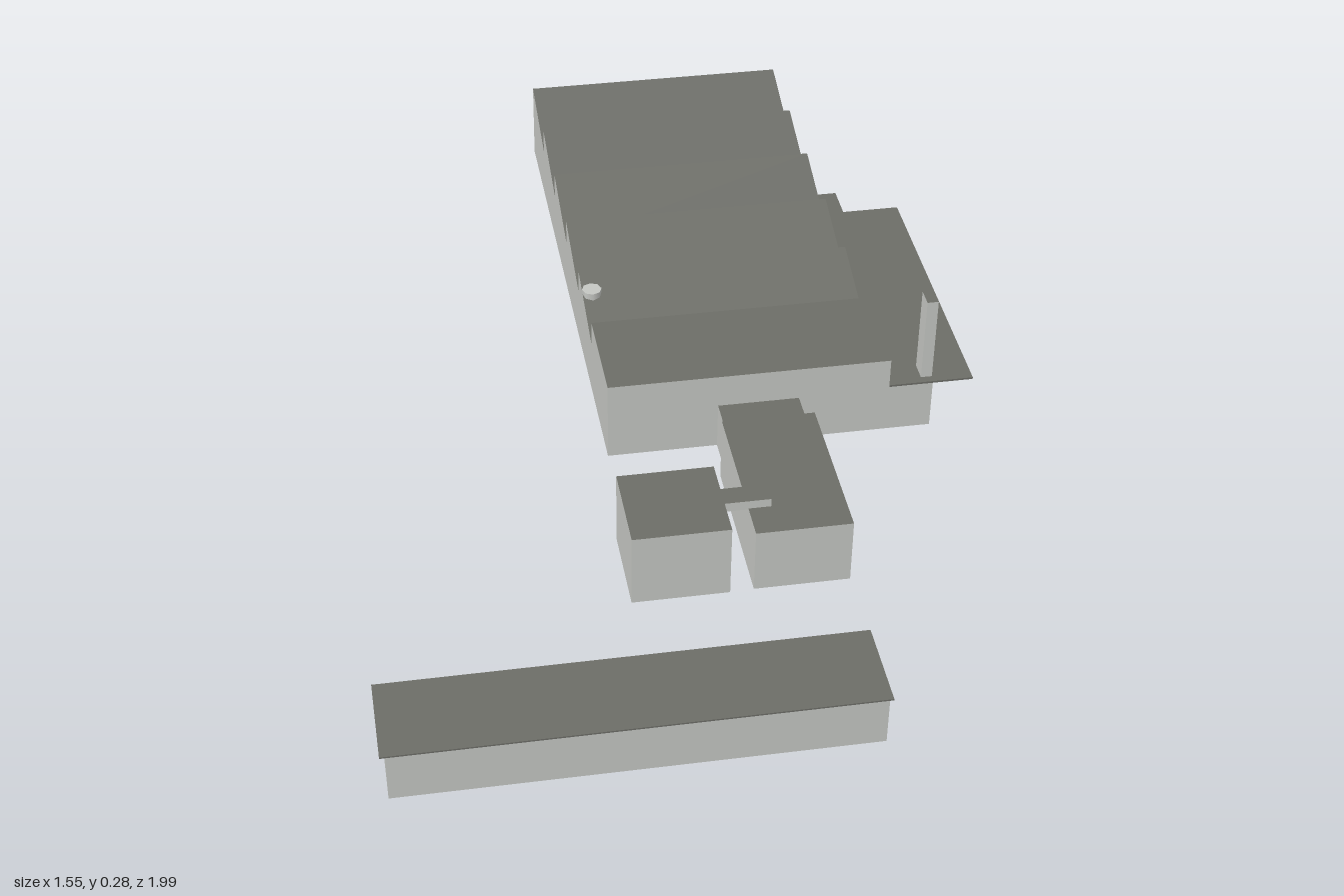
import * as THREE from 'three';

const wall = new THREE.MeshStandardMaterial({ color: 0xc4c6c2 });
wall.name = 'light grey wall';
const roof = new THREE.MeshStandardMaterial({ color: 0x6c6d67 });
roof.name = 'dark grey roof';

// Upright faces get the wall colour, faces looking up or down the roof colour
function paintedMesh(name, source) {
  const geometry = source.index ? source.toNonIndexed() : source;
  geometry.clearGroups();
  geometry.computeVertexNormals();
  const normal = geometry.attributes.normal;
  for (let i = 0; i < normal.count; i += 3) {
    geometry.addGroup(i, 3, Math.abs(normal.getY(i)) > 0.5 ? 1 : 0);
  }
  const mesh = new THREE.Mesh(geometry, [wall, roof]);
  mesh.name = name;
  return mesh;
}

// Box given by its limits along the site axes
function boxGeometry(x0, x1, y0, y1, z0, z1) {
  return new THREE.BoxGeometry(x1 - x0, y1 - y0, z1 - z0)
    .translate((x0 + x1) / 2, (y0 + y1) / 2, (z0 + z1) / 2);
}

function block(name, ...limits) {
  return paintedMesh(name, boxGeometry(...limits));
}

function plate(name, ...limits) {
  const mesh = new THREE.Mesh(boxGeometry(...limits), roof);
  mesh.name = name;
  return mesh;
}

// Hall with a flat front bay and five sawtooth bays, extruded across its width
function createHall() {
  const high = 0.166, low = 0.112, front = 0.104, back = -1.018;
  const firstTooth = -0.108, bays = 5;
  const pitch = (firstTooth - back) / bays;
  const profile = new THREE.Shape();
  profile.moveTo(-front, 0);
  profile.lineTo(-back, 0);
  profile.lineTo(-back, high);
  for (let i = bays - 1; i >= 0; i--) {
    const z = firstTooth - i * pitch;
    profile.lineTo(-z, low);
    profile.lineTo(-z, high);
  }
  profile.lineTo(-front, high);
  const geometry = new THREE.ExtrudeGeometry(profile, { depth: 0.553, bevelEnabled: false });
  geometry.rotateY(Math.PI / 2).translate(-0.055, 0, 0);
  return paintedMesh('sawtoothHall', geometry);
}

export function createModel() {
  const model = new THREE.Group();
  model.name = 'factory';
  const site = new THREE.Group();
  site.name = 'site';
  site.rotation.y = -0.2527;
  model.add(site);

  site.add(createHall());

  // Small round vent on the roof
  const vent = new THREE.Mesh(new THREE.CylinderGeometry(0.02, 0.02, 0.04, 8), wall);
  vent.name = 'roofVent';
  vent.position.set(-0.036, 0.138, -0.234);
  site.add(vent);

  // Low side annex with its overhanging roof
  site.add(
    block('annexFront', 0.498, 0.585, 0, 0.102, -0.26, 0.104),
    block('annexBack', 0.498, 0.649, 0, 0.102, -0.475, -0.26),
    plate('annexRoof', 0.498, 0.665, 0.102, 0.106, -0.505, 0.104),
    plate('annexRoofTab', 0.498, 0.547, 0.102, 0.106, -0.58, -0.505),
    block('chimney', 0.565, 0.587, 0.1, 0.284, 0.05, 0.088)
  );

  // Front wing, its link to the hall, and the cube joined by a bridge
  site.add(
    block('link', 0.16, 0.319, 0, 0.097, 0.104, 0.197),
    block('frontWing', 0.149, 0.328, 0, 0.132, 0.197, 0.523),
    block('cubeBuilding', -0.076, 0.105, 0, 0.149, 0.346, 0.525),
    block('bridge', 0.105, 0.191, 0.13, 0.149, 0.411, 0.453)
  );

  // Long detached building with a thin overhanging roof
  site.add(
    block('longBuilding', -0.547, 0.291, 0.016, 0.11, 0.805, 0.947),
    plate('longBuildingRoof', -0.557, 0.298, 0.11, 0.113, 0.778, 0.947)
  );

  return model;
}
